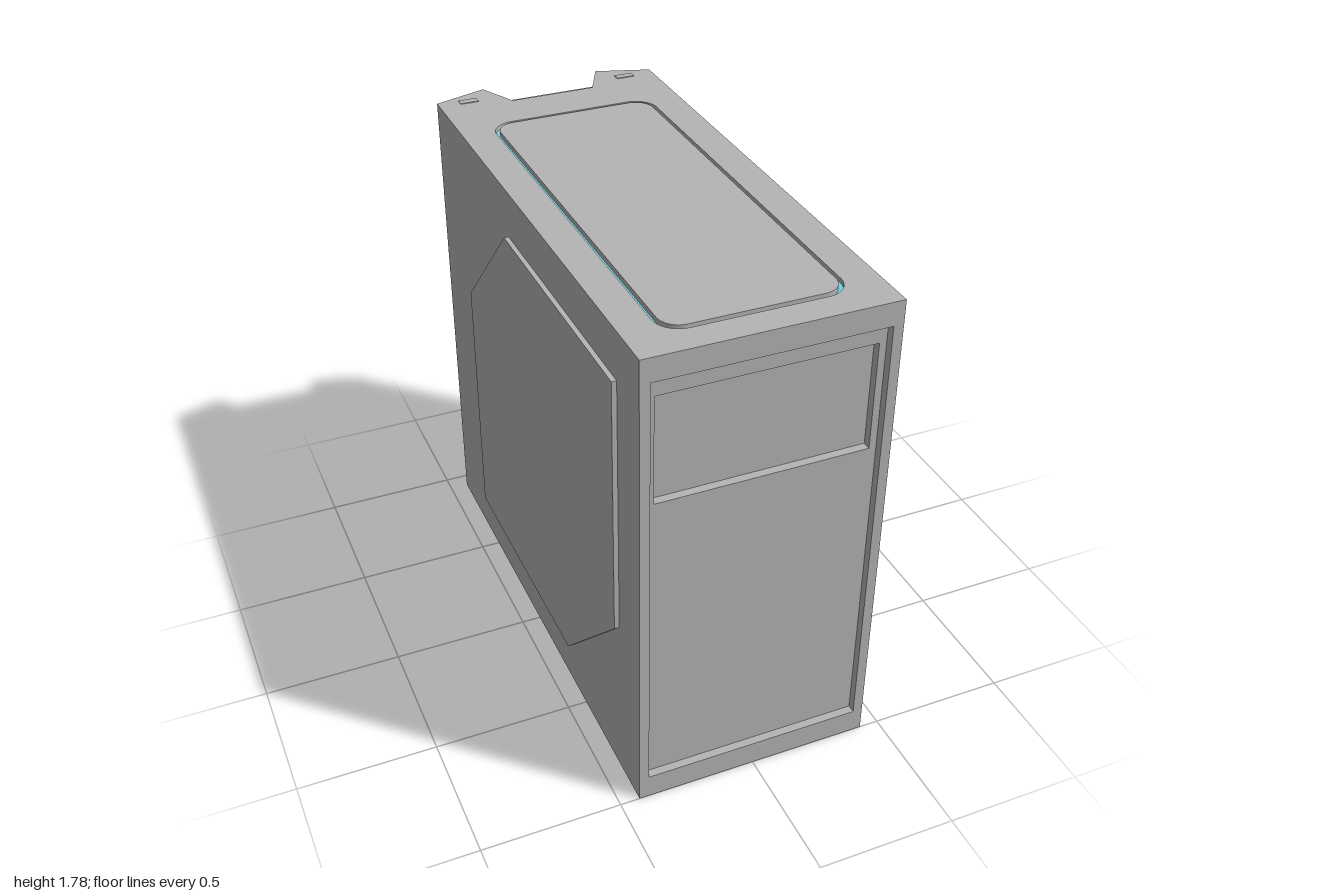
import * as THREE from 'three';

const grey = new THREE.MeshStandardMaterial({ color: 0xb4b4b4 });
grey.name = 'case grey';
const cyan = new THREE.MeshStandardMaterial({ color: 0x74d0e2 });
cyan.name = 'light cyan';

const TOP = 1.775, SKIN = 0.02;

function polygon(points) {
  return new THREE.Shape(points.map(([x, y]) => new THREE.Vector2(x, y)));
}

// Rectangle with rounded corners, also used for holes
function rounded(x0, y0, x1, y1, r, Type = THREE.Shape) {
  const s = new Type();
  s.moveTo(x0 + r, y0).lineTo(x1 - r, y0);
  s.absarc(x1 - r, y0 + r, r, -Math.PI / 2, 0);
  s.lineTo(x1, y1 - r).absarc(x1 - r, y1 - r, r, 0, Math.PI / 2);
  s.lineTo(x0 + r, y1).absarc(x0 + r, y1 - r, r, Math.PI / 2, Math.PI);
  s.lineTo(x0, y0 + r).absarc(x0 + r, y0 + r, r, Math.PI, Math.PI * 1.5);
  return s;
}

function rect(x0, y0, x1, y1) {
  return polygon([[x0, y0], [x1, y0], [x1, y1], [x0, y1]]);
}

function extrude(shape, depth) {
  return new THREE.ExtrudeGeometry(shape, { depth, bevelEnabled: false, curveSegments: 8 });
}

// Plan shape (x, -z) raised from y0 to y1
function raise(shape, y0, y1) {
  return extrude(shape, y1 - y0).rotateX(-Math.PI / 2).translate(0, y0, 0);
}

// Plan outline with a tapered channel at the back
function plan(frontZ) {
  return polygon([
    [-0.43, -frontZ], [0.43, -frontZ], [0.43, 0.935], [0.23, 1], [0.16, 0.855],
    [-0.16, 0.855], [-0.23, 1], [-0.43, 0.935],
  ]);
}

export function createModel() {
  const model = new THREE.Group();
  model.name = 'computerTower';
  const add = (name, geometry, material = grey) => {
    const mesh = new THREE.Mesh(geometry, material);
    mesh.name = name;
    model.add(mesh);
    return mesh;
  };
  const box = (name, w, h, d, x, y, z, material) =>
    add(name, new THREE.BoxGeometry(w, h, d).translate(x, y, z), material);

  // Main case
  add('caseBody', raise(plan(0.94), 0, TOP - SKIN));

  // Stepped recesses on the front
  const frame = rect(-0.43, 0, 0.43, TOP - SKIN);
  frame.holes.push(rect(-0.395, 0.09, 0.395, 1.69));
  add('frontFrame', extrude(frame, 0.03).translate(0, 0, 0.97));
  const inner = rect(-0.43, 0, 0.43, TOP - SKIN);
  inner.holes.push(rect(-0.37, 1.23, 0.37, 1.62));
  add('frontInnerPanel', extrude(inner, 0.03).translate(0, 0, 0.94));

  // Top skin, light ring in its groove, and the raised top panel
  const skin = plan(1);
  skin.holes.push(rounded(-0.312, -0.895, 0.312, 0.675, 0.085, THREE.Path));
  add('topSkin', raise(skin, TOP - SKIN, TOP));
  const ring = rounded(-0.312, -0.895, 0.312, 0.675, 0.085);
  ring.holes.push(rounded(-0.296, -0.879, 0.296, 0.659, 0.07, THREE.Path));
  add('topLightRing', raise(ring, TOP - SKIN, TOP - SKIN + 0.004), cyan);
  add('topPanel', raise(rounded(-0.296, -0.879, 0.296, 0.659, 0.07), TOP - SKIN, TOP + 0.003));

  // Side panels with two cut corners
  const side = polygon([
    [-0.83, 1.605], [0.14, 1.605], [0.6, 1.145], [0.6, 0.17], [-0.37, 0.17], [-0.83, 0.64],
  ]);
  for (const [name, x] of [['leftSidePanel', 0.417], ['rightSidePanel', -0.447]]) {
    add(name, extrude(side, 0.03).rotateY(Math.PI / 2).translate(x, 0, 0));
  }

  // Panel standing in the back channel, short of both ends
  add('channelPanel', raise(polygon([
    [-0.16, 0.855], [0.16, 0.855], [0.2, 0.94], [-0.2, 0.94],
  ]), 0.06, 1.74));

  // Light strips in the channel
  for (const s of [1, -1]) {
    add('channelLight', raise(polygon([
      [s * 0.201, 0.94], [s * 0.2107, 0.96], [s * 0.2067, 0.96], [s * 0.197, 0.94],
    ]), 0, 1.74), cyan);
    // Small raised tabs on the top
    box('topTab', 0.07, 0.004, 0.03, s * 0.315, TOP + 0.001, -0.91);
  }
  box('channelFootLight', 0.31, 0.025, 0.004, 0, 0.0125, -0.856, cyan);

  // Buttons on the top of the channel panel
  for (const x of [-0.13, -0.07, 0.05, 0.12]) {
    box('button', 0.03, 0.012, 0.02, x, 1.743, -0.9);
  }
  return model;
}
